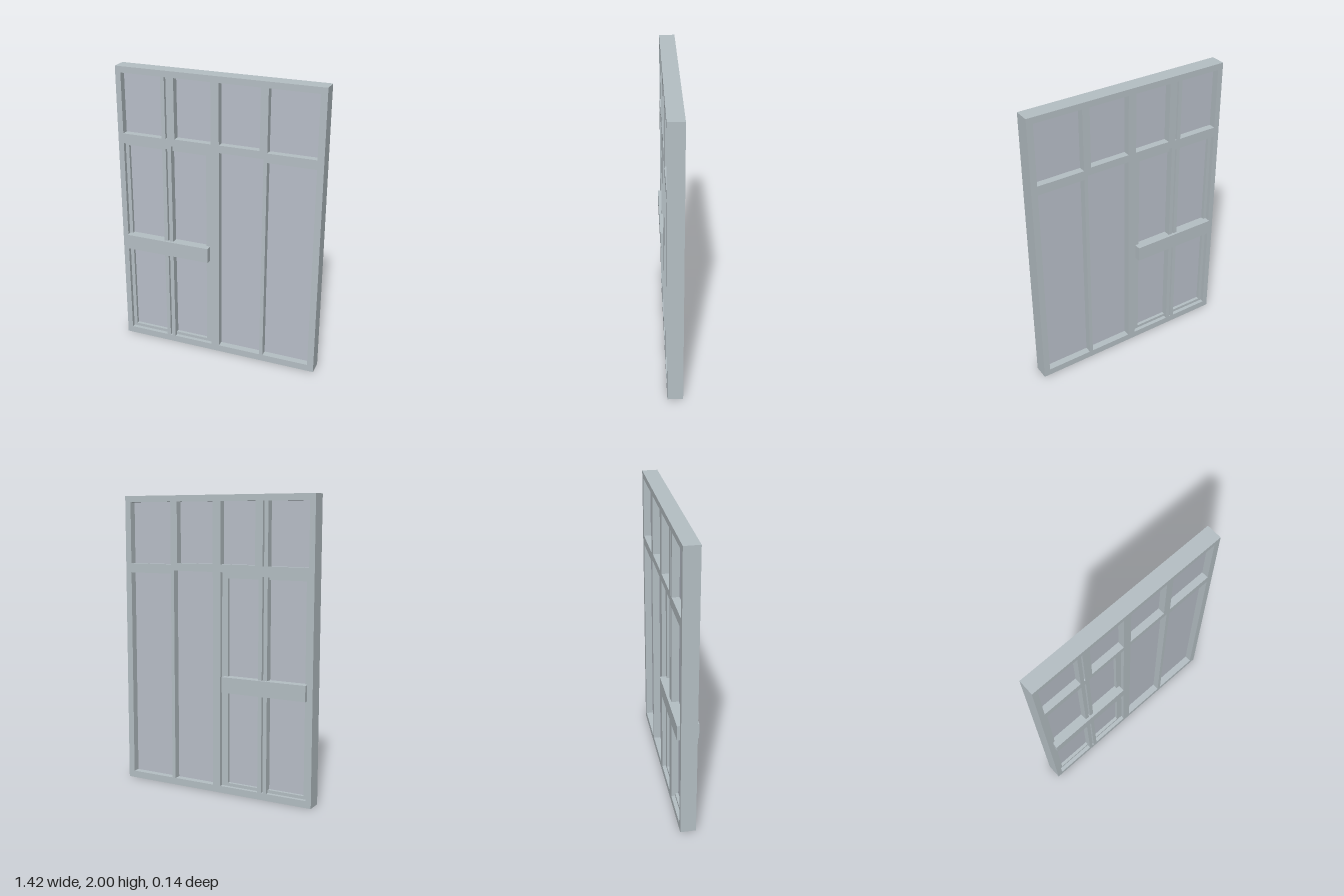
import * as THREE from 'three';

const frameMat = new THREE.MeshStandardMaterial({ color: 0xb5bfc4 });
frameMat.name = 'grey metal';
const glassMat = new THREE.MeshStandardMaterial({ color: 0xb9bfc9 });
glassMat.name = 'grey glass';

const MID_Z = -0.0025;

// Closed rectangle from its edges
function rect(Type, [x0, x1, y0, y1]) {
  const p = new Type();
  p.moveTo(x0, y0);
  p.lineTo(x1, y0);
  p.lineTo(x1, y1);
  p.lineTo(x0, y1);
  p.closePath();
  return p;
}

// Slab with rectangular openings, centred in depth
function slab(name, outer, openings, depth, material) {
  const shape = rect(THREE.Shape, outer);
  shape.holes = openings.map((o) => rect(THREE.Path, o));
  const geo = new THREE.ExtrudeGeometry(shape, { depth, bevelEnabled: false });
  geo.translate(0, 0, MID_Z - depth / 2);
  const mesh = new THREE.Mesh(geo, material);
  mesh.name = name;
  return mesh;
}

export function createModel() {
  const model = new THREE.Group();
  model.name = 'glazedPartition';

  // Openings as [left, right, bottom, top]
  const upper = [
    [-0.673, -0.39, 1.545, 1.958],
    [-0.363, -0.352, 1.545, 1.958],
    [-0.298, -0.043, 1.55, 1.958],
    [0.014, 0.291, 1.55, 1.958],
    [0.342, 0.667, 1.54, 1.958],
  ];
  const lower = [
    [-0.673, -0.39, 0.047, 1.477],
    [-0.363, -0.352, 0.047, 1.477],
    [-0.325, -0.043, 0.047, 1.499],
    [0.014, 0.317, 0.047, 1.499],
    [0.342, 0.667, 0.047, 1.477],
  ];

  // Main frame
  model.add(slab('frame', [-0.711, 0.711, 0, 2], [...upper, ...lower], 0.105, frameMat));

  // Recessed door frame behind the left-hand openings
  model.add(slab('doorFrame', [-0.69, -0.03, 0.03, 1.515], [[-0.648, -0.087, 0.068, 1.459]], 0.052, frameMat));

  // Glass sheet in the middle of the frame
  model.add(slab('glass', [-0.69, 0.69, 0.03, 1.975], [], 0.008, glassMat));

  // Push bar standing out on both sides of the door
  const bar = new THREE.Mesh(new THREE.BoxGeometry(0.607, 0.105, 0.141), frameMat);
  bar.position.set(-0.3645, 0.7525, MID_Z);
  bar.name = 'pushBar';
  model.add(bar);

  return model;
}
